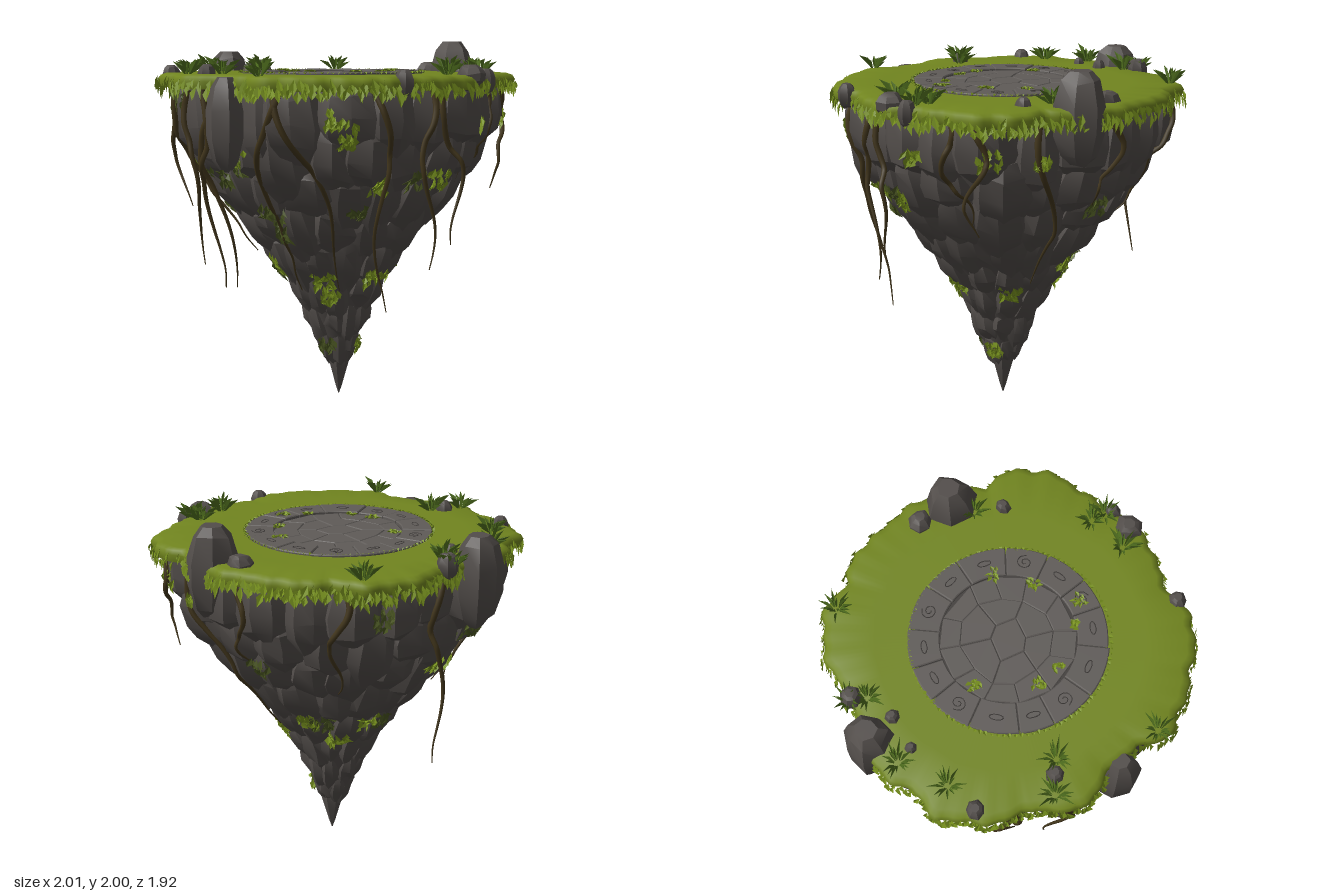
import * as THREE from 'three';
import { mergeGeometries, toCreasedNormals } from 'three/addons/utils/BufferGeometryUtils.js';

const V = (x, y, z) => new THREE.Vector3(x, y, z);
const rad = THREE.MathUtils.degToRad, lerp = THREE.MathUtils.lerp, TAU = Math.PI * 2;

// Island outline radius every 10 degrees, from +z towards +x
const OUTLINE = [.92, .92, .93, .94, .86, .87, .92, .94, .91, .96, 1, 1, .9, .93, .93, .94, .92, .95,
  .9, .96, .95, .92, .86, .86, .92, .94, .91, .98, .96, .93, .87, .94, .89, .81, .84, .93];
// Cliff profile: height, radius
const PROFILE = [[0, .01], [.18, .06], [.3, .12], [.6, .24], [.8, .36], [1.4, .82], [1.6, .89], [1.85, .92]];

function outline(a) {
  const d = (((a / TAU) % 1) + 1) % 1 * 36, i = Math.floor(d) % 36;
  return lerp(OUTLINE[i], OUTLINE[(i + 1) % 36], d - Math.floor(d));
}
function cliffRadius(a, y) {
  let i = 1;
  while (i < PROFILE.length - 1 && PROFILE[i][0] < y) i++;
  const [y0, r0] = PROFILE[i - 1], [y1, r1] = PROFILE[i];
  const blend = THREE.MathUtils.clamp((y - .8) / .8, 0, 1);
  return lerp(r0, r1, (y - y0) / (y1 - y0)) * lerp(1, outline(a) / .93, blend);
}
const axisX = y => .04 * Math.max(0, 1 - y / 1.8);
const polar = (a, r, y) => V(axisX(y) + Math.sin(a) * r, y, Math.cos(a) * r);
const circle = (n, f) => Array.from({ length: n }, (_, j) => f(-j / n * TAU));

// Skin over rings of points, listed from top to bottom; both ends are closed
function loft(rings, crease) {
  const middle = ring => ring.map(() => ring.reduce((s, p) => s.add(p), V(0, 0, 0)).divideScalar(ring.length));
  const all = [middle(rings[0]), ...rings, middle(rings[rings.length - 1])];
  const n = rings[0].length, index = [];
  for (let i = 0; i < all.length - 1; i++) for (let j = 0; j < n; j++) {
    const a = i * n + j, b = i * n + (j + 1) % n;
    if (i > 0) index.push(a, b, a + n);
    if (i < all.length - 2) index.push(b, b + n, a + n);
  }
  const g = new THREE.BufferGeometry().setFromPoints(all.flat());
  g.setIndex(index);
  return toCreasedNormals(g, crease);
}

export function createModel() {
  let seed = 7;
  const rnd = (lo = 0, hi = 1) => { seed = (seed * 16807) % 2147483647; return lo + (hi - lo) * seed / 2147483647; };
  const material = (name, color, side = THREE.FrontSide) => Object.assign(new THREE.MeshStandardMaterial({ color, side }), { name });
  const M = {
    rock: material('rock', 0x524d4a), stone: material('carved stone', 0x5f5b58), groove: material('stone groove', 0x423e3c),
    grass: material('grass', 0x71851f), fringe: material('grass fringe', 0x7a941f, THREE.DoubleSide),
    moss: material('dark moss', 0x4b5722, THREE.DoubleSide), blade: material('grass blades', 0x4f6e1e, THREE.DoubleSide),
    vine: material('vine bark', 0x42361c),
  };
  const model = new THREE.Group();
  model.name = 'floatingIsland';
  const add = (name, geometry, mat) => {
    const mesh = new THREE.Mesh(geometry, mat);
    mesh.name = name;
    model.add(mesh);
    return mesh;
  };

  // Cliff: solid core covered in rows of overlapping rocks
  const coreRings = Array.from({ length: 10 }, (_, i) => 1.79 - i * .17);
  const cliff = [add('cliffCore', loft(coreRings.map(y => circle(48, a => polar(a, cliffRadius(a, y) * .87, y))), .5), M.rock)];
  function cliffRock(a, top, bottom, width, depth) {
    const shape = [[0, .6, .45], [.2, .88, .8], [.55, 1.02, 1], [.78, .92, .95], [1, .4, .3]];
    const N = V(Math.sin(a), 0, Math.cos(a)), T = V(Math.cos(a), 0, -Math.sin(a));
    const rTop = cliffRadius(a, top), rLow = cliffRadius(a, bottom + (top - bottom) * .3), turn = rnd(0, .9);
    const corners = Array.from({ length: 8 }, () => rnd(.87, 1.1));
    return loft(shape.map(([t, w, d]) => {
      const y = lerp(top, bottom, t), c = polar(a, lerp(rTop, rLow, Math.min(1, t * 1.25)) - depth * .97, y);
      return corners.map((k, j) => {
        const p = j / 8 * TAU + turn;
        return c.clone().addScaledVector(T, Math.cos(p) * width * w * k * rnd(.95, 1.05))
          .addScaledVector(N, Math.sin(p) * depth * d * k * rnd(.95, 1.05)).add(V(0, rnd(-.02, .02), 0));
      });
    }), .5);
  }
  for (let row = 0; row < 8; row++) {
    const bottom = .19 + 1.22 * (1 - row / 7) ** 1.1, h = .17 + .16 * bottom, n = Math.round(6 + 10.5 * bottom), rocks = [];
    for (let i = 0; i < n; i++) {
      const a = (i + row * .5 + rnd(-.18, .18)) / n * TAU;
      const width = cliffRadius(a, bottom + h / 2) * Math.PI / n * rnd(1.05, 1.3);
      rocks.push(cliffRock(a, bottom + h - (row ? rnd(0, .12) * h : 0), bottom + rnd(-.16, .2) * h, width, width * rnd(.8, 1)));
    }
    cliff.push(add('cliffRocks' + (row + 1), mergeGeometries(rocks), M.rock));
  }
  const tip = [[.34, .06], [.2, .062], [.13, .042], [.05, .02], [0, .003]];
  cliff.push(add('cliffTip', loft(tip.map(([y, r]) => circle(7, a => V(.04 + Math.sin(a) * r, y, Math.cos(a) * r))), .6), M.rock));

  // Boulders: x, z, radius, top; the big ones hang over the rim
  [[.62, -.58, .135, 2], [.44, -.68, .065, 1.88], [-.73, -.46, .135, 1.94], [-.58, -.62, .055, 1.89], [-.59, -.39, .04, 1.87],
    [.69, -.31, .042, 1.87], [-.71, -.24, .035, 1.86], [-.87, .17, .05, 1.87], [.81, .34, .075, 1.88], [.88, .23, .045, 1.86],
    [-.57, .46, .05, 1.88], [-.39, .73, .11, 1.82], [.52, .71, .05, 1.86]].forEach(([x, z, r, top], i) => {
    const k = Array.from({ length: 7 }, () => rnd(.86, 1.1)), lean = rnd(-.2, .2) * r, height = r > .1 ? .47 : .13;
    add('boulder' + (i + 1), loft([[0, .42], [.1, .74], [.35, 1], [.65, .98], [.9, .7], [1, .35]].map(([t, s]) => k.map((q, j) => {
      const p = j / 7 * TAU + i;
      return V(x + lean * (1 - t) + Math.cos(p) * r * s * q, top - height * t + (t ? rnd(-.1, .1) * r : 0), z + Math.sin(p) * r * s * q);
    })), .45), M.rock);
  });

  // Grass mat with a wavy rounded rim: scale, height, share of the outline
  const rim = a => outline(a) + .01 * Math.sin(a * 23) + .007 * Math.sin(a * 47 + 1);
  const matRings = [[.48, 1.765, 0], [.48, 1.828, 0], [.7, 1.828, .3], [.95, 1.83, 1], [.985, 1.818, 1], [1, 1.795, 1], [.985, 1.755, 1], [.85, 1.76, 1]];
  add('grassMat', loft(matRings.map(([s, y, w]) => circle(216, a => V(Math.sin(a), 0, Math.cos(a)).multiplyScalar(s * lerp(1, rim(a), w)).setY(y))), 1.2), M.grass);

  // Leaves: folded kites collected into one mesh per part
  const kite = (list, base, left, end, right) => list.push(base, left, end, base, end, right);
  const leafMesh = (name, list, mat) => {
    const g = new THREE.BufferGeometry().setFromPoints(list);
    g.computeVertexNormals();
    add(name, g, mat);
  };
  function leaf(list, p, n, dir, length, width) {
    const d = dir.clone().addScaledVector(n, -dir.dot(n)).normalize(), side = d.clone().cross(n).multiplyScalar(width);
    const mid = p.clone().addScaledVector(d, length * .35).addScaledVector(n, .012);
    kite(list, p.clone().addScaledVector(d, -length * .25), mid.clone().add(side), p.clone().addScaledVector(d, length).addScaledVector(n, .004), mid.clone().sub(side));
  }

  // Ragged fringe hanging over the rim
  const fringe = [];
  for (let i = 0; i < 420; i++) {
    const a = (i + rnd()) / 420 * TAU, n = V(Math.sin(a), .15, Math.cos(a)).normalize(), r = rim(a) + rnd(-.012, .006);
    leaf(fringe, V(Math.sin(a) * r, rnd(1.745, 1.805), Math.cos(a) * r), n, V(rnd(-.4, .4), -1, rnd(-.4, .4)), rnd(.035, .075), rnd(.013, .024));
  }
  leafMesh('grassFringe', fringe, M.fringe);

  // Finds the rock face at an angle and height
  const ray = new THREE.Raycaster();
  model.updateMatrixWorld(true);
  function onCliff(a, y) {
    const outward = V(Math.sin(a), 0, Math.cos(a));
    ray.set(polar(a, 1.6, y), outward.clone().negate());
    const hit = ray.intersectObjects(cliff)[0];
    return hit ? { p: hit.point, n: hit.face.normal.clone() } : { p: polar(a, cliffRadius(a, y), y), n: outward };
  }

  // Moss patches on the cliff: angle, height, size; the rear ones are scattered
  const bright = [[15, 1.62, .07], [17, 1.52, .04], [0, .72, .06], [5, .63, .05], [55, .73, .05], [32, 1.28, .05], [62, 1.3, .05],
    [76, 1.58, .04], [103, 1.6, .06], [114, .72, .05], [85, .31, .04], [120, 1.57, .03]];
  const dark = [[-33, 1.37, .06], [-22, 1.1, .07], [-22, 1, .06], [-62, 1.7, .08], [50, 1.3, .05], [24, 1.13, .04], [-15, .32, .04]];
  for (let i = 0; i < 16; i++) (i % 2 ? bright : dark).push([150 + i * 12, rnd() < .35 ? rnd(.7, .9) : rnd(1.1, 1.65), rnd(.04, .06)]);
  const mossPatches = (name, list, mat) => {
    const leaves = [];
    for (const [deg, y, s] of list) for (let i = 0; i < 22; i++) {
      const { p, n } = onCliff(rad(deg) + rnd(-1, 1) * s / cliffRadius(rad(deg), y), y + rnd(-.8, .8) * s);
      leaf(leaves, p.addScaledVector(n, .008), n, V(rnd(-.7, .7), -1, rnd(-.7, .7)), rnd(.03, .06), rnd(.012, .022));
    }
    leafMesh(name, leaves, mat);
  };
  mossPatches('brightMossPatches', bright, M.fringe);
  mossPatches('darkMossPatches', dark, M.moss);

  // Vines: start angle, end angle, end height, final gap to the cliff
  [[-42, -48, .69, .4], [-39, -45, .68, .33], [-46, -53, .8, .4], [-72, -70, 1.1, .2], [-8, -30, .64, .01], [-6, 18, .65, .01],
    [29, 33, .6, .4], [48, 50, .83, .4], [57, 62, .95, .34], [100, 97, 1.19, .18], [87, 92, 1.18, 0], [119, 133, .78, .02],
    [149, 146, 1.25, 0], [184, 183, 1.12, 0], [222, 224, .75, .5], [262, 265, .98, .05], [291, 296, .85, .05]].forEach(([from, to, end, gap], i) => {
    const points = Array.from({ length: 12 }, (_, k) => {
      const t = k / 11, y = lerp(1.75, end, t), a = rad(lerp(from, to, t) + 3 * Math.sin(t * 8 + i * 2));
      const { p } = onCliff(a, y), r = Math.hypot(p.x - axisX(y), p.z);
      const g = gap * Math.max(0, (t - .25) / .75) ** 1.2;
      return polar(a, lerp(r, cliffRadius(a, y), Math.min(1, g * 10)) + g + .008, y);
    });
    const curve = new THREE.CatmullRomCurve3(points), seg = 40, v = V(0, 0, 0);
    const tube = new THREE.TubeGeometry(curve, seg, .018, 6), pos = tube.attributes.position;
    // taper towards the free end
    for (let k = 0; k < pos.count; k++) {
      const t = Math.floor(k / 7) / seg;
      v.fromBufferAttribute(pos, k).lerp(curve.getPointAt(t), .85 * t ** 1.3);
      pos.setXYZ(k, v.x, v.y, v.z);
    }
    add('vine' + (i + 1), tube, M.vine);
  });

  // Grass tufts: x, z
  const blades = [];
  for (const [x, z] of [[-.82, 0], [-.8, -.27], [-.55, -.54], [-.6, -.62], [.6, -.44], [.78, .15], [-.67, .5], [-.5, .44], [-.18, .85], [-.17, -.88], [.69, .35], [.84, .2]]) {
    const s = rnd(.085, .125);
    for (let i = 0; i < 16; i++) {
      const a = i * 2.4, d = V(Math.sin(a), 0, Math.cos(a)), out = s * rnd(.3, .95), up = s * rnd(.45, 1);
      const base = V(x, 1.82, z).addScaledVector(d, .01), mid = base.clone().addScaledVector(d, out * .4).setY(1.825 + up * .75);
      const side = V(d.z, 0, -d.x).multiplyScalar(s * .07);
      kite(blades, base, mid.clone().add(side), base.clone().addScaledVector(d, out).setY(1.825 + up * .95), mid.clone().sub(side));
    }
  }
  leafMesh('grassTufts', blades, M.blade);

  // Stone circle: wedge blocks around a paved floor
  const slab = (shape, top, depth) => {
    const g = new THREE.ExtrudeGeometry(shape, { depth, bevelSize: .005, bevelThickness: .005, bevelSegments: 1, curveSegments: 6 });
    return g.rotateX(-Math.PI / 2).translate(.005, top - depth - .005, -.01);
  };
  const cuts = Array.from({ length: 14 }, (_, i) => (i + rnd(-.15, .15)) / 14 * TAU), blocks = [], grooves = [];
  cuts.forEach((a0, i) => {
    const a1 = i < 13 ? cuts[i + 1] : cuts[0] + TAU, shape = new THREE.Shape();
    shape.absarc(0, 0, .5 + rnd(-.006, .006), a0 + .014, a1 - .014, false);
    shape.absarc(0, 0, .352, a1 - .02, a0 + .02, true);
    const top = 1.84 + rnd(-.004, .003);
    blocks.push(slab(shape, top, .04));
    // carved swirls and lozenges
    const m = (a0 + a1) / 2, swirl = i % 3 === 0, pts = [];
    for (let k = 0; k <= 12; k++) {
      const q = k / 12 * TAU * (swirl ? 1.6 : 1), r = swirl ? .04 * (1 - k / 15) : .032;
      const u = .427 + Math.cos(q) * r * (swirl ? 1 : .45), w = Math.sin(q) * r * 1.1;
      pts.push(V(.005 + u * Math.cos(m) - w * Math.sin(m), top, -.01 - u * Math.sin(m) - w * Math.cos(m)));
    }
    grooves.push(new THREE.TubeGeometry(new THREE.CatmullRomCurve3(pts), 24, .0025, 4));
  });
  add('circleBlocks', mergeGeometries(blocks), M.stone);
  add('circleCarvings', mergeGeometries(grooves), M.groove);
  add('circleBed', new THREE.CylinderGeometry(.505, .505, .06, 48).translate(.005, 1.793, -.01), M.groove);
  const corners = (n, r, jitter) => Array.from({ length: n }, (_, i) => {
    const a = (i + rnd(-.2, .2)) / n * TAU, q = r * rnd(1 - jitter, 1 + jitter);
    return new THREE.Vector2(Math.cos(a) * q, Math.sin(a) * q);
  });
  const inner = corners(6, .11, .2), middle = corners(12, .235, .1), outer = corners(12, .35, 0), paving = [inner];
  for (let i = 0; i < 6; i++) paving.push([inner[i], middle[2 * i], middle[2 * i + 1], middle[(2 * i + 2) % 12], inner[(i + 1) % 6]]);
  for (let i = 0; i < 12; i++) paving.push([middle[i], outer[i], outer[(i + 1) % 12], middle[(i + 1) % 12]]);
  add('pavedFloor', mergeGeometries(paving.map(p => {
    const c = p.reduce((s, q) => s.add(q), new THREE.Vector2()).divideScalar(p.length);
    return slab(new THREE.Shape(p.map(q => q.clone().lerp(c, .075))), 1.83 + rnd(-.002, .001), .02);
  })), M.stone);

  // Moss creeping over the stones and around their edge
  const creep = [];
  for (const [x, z] of [[-.3, -.07], [.33, 0], [.33, .25], [.2, .28], [-.05, .28], [-.17, .22], [.3, -.2]])
    for (let i = 0; i < 12; i++) leaf(creep, V(x + rnd(-.025, .025), 1.838, z + rnd(-.025, .025)), V(0, 1, 0), V(rnd(-1, 1), 0, rnd(-1, 1)), .03, .011);
  for (let i = 0; i < 110; i++) {
    const a = i / 110 * TAU, d = V(Math.sin(a), 0, Math.cos(a));
    leaf(creep, d.clone().multiplyScalar(.515).setY(1.832), V(0, 1, 0), d.negate().add(V(rnd(-.6, .6), 0, rnd(-.6, .6))), rnd(.005, .03), .011);
  }
  leafMesh('creepingMoss', creep, M.fringe);
  return model;
}
